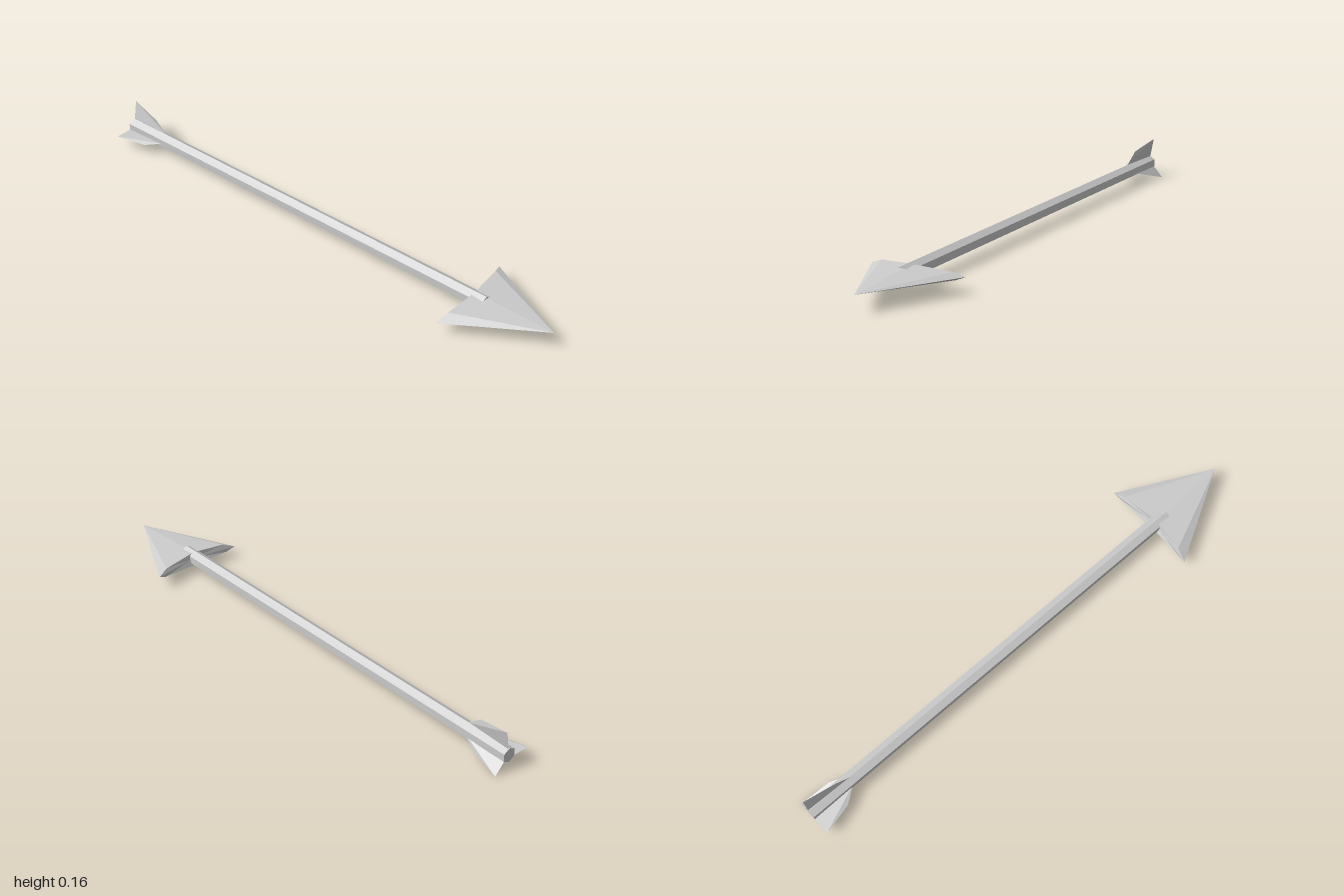
import * as THREE from 'three';

const material = new THREE.MeshStandardMaterial({ color: 0xcccccc, flatShading: true, side: THREE.DoubleSide });

// Fan of triangles from a hub point to consecutive points
function fan(hub, points, closed, flip = false) {
  const out = [];
  const count = closed ? points.length : points.length - 1;
  for (let i = 0; i < count; i++) {
    const a = points[i], b = points[(i + 1) % points.length];
    out.push(...hub, ...(flip ? b : a), ...(flip ? a : b));
  }
  return out;
}

function facetMesh(name, positions) {
  const geometry = new THREE.BufferGeometry();
  geometry.setAttribute('position', new THREE.Float32BufferAttribute(positions, 3));
  geometry.computeVertexNormals();
  const mesh = new THREE.Mesh(geometry, material);
  mesh.name = name;
  return mesh;
}

export function createModel() {
  const group = new THREE.Group();
  group.name = 'arrow';

  // Hexagonal shaft running along z, with a corner on top
  const shaftGeometry = new THREE.CylinderGeometry(0.029, 0.029, 1.73, 6);
  shaftGeometry.rotateY(Math.PI).rotateX(Math.PI / 2);
  const shaft = new THREE.Mesh(shaftGeometry, material);
  shaft.name = 'shaft';
  shaft.position.set(-0.007, 0.057, -0.135);
  group.add(shaft);

  // Broad flat head: an eight-sided rim drawn to a tip, with a hollowed back
  const rim = [
    [0.19, 0.058, 0.645], [0.145, 0.072, 0.66], [-0.005, 0.079, 0.68], [-0.14, 0.067, 0.667],
    [-0.19, 0.045, 0.655], [-0.15, 0.033, 0.66], [0, 0.032, 0.664], [0.155, 0.043, 0.652],
  ];
  group.add(facetMesh('arrowHead', [
    ...fan([0.005, 0.067, 1], rim, true),
    ...fan([0, 0.056, 0.676], rim, true, true),
  ]));

  // Three thin tail fins: root front, shoulder, rear tip, root rear
  const fins = {
    topFin: [[-0.008, 0.083, -0.81], [-0.005, 0.13, -0.87], [0.012, 0.158, -1], [-0.002, 0.083, -1]],
    leftFin: [[0.013, 0.052, -0.82], [0.042, 0.034, -0.88], [0.055, 0, -1], [0.013, 0.045, -1]],
    rightFin: [[-0.027, 0.052, -0.82], [-0.07, 0.042, -0.88], [-0.1, 0.045, -1], [-0.027, 0.045, -1]],
  };
  for (const [name, [root, ...outline]] of Object.entries(fins)) {
    group.add(facetMesh(name, fan(root, outline, false)));
  }

  return group;
}
